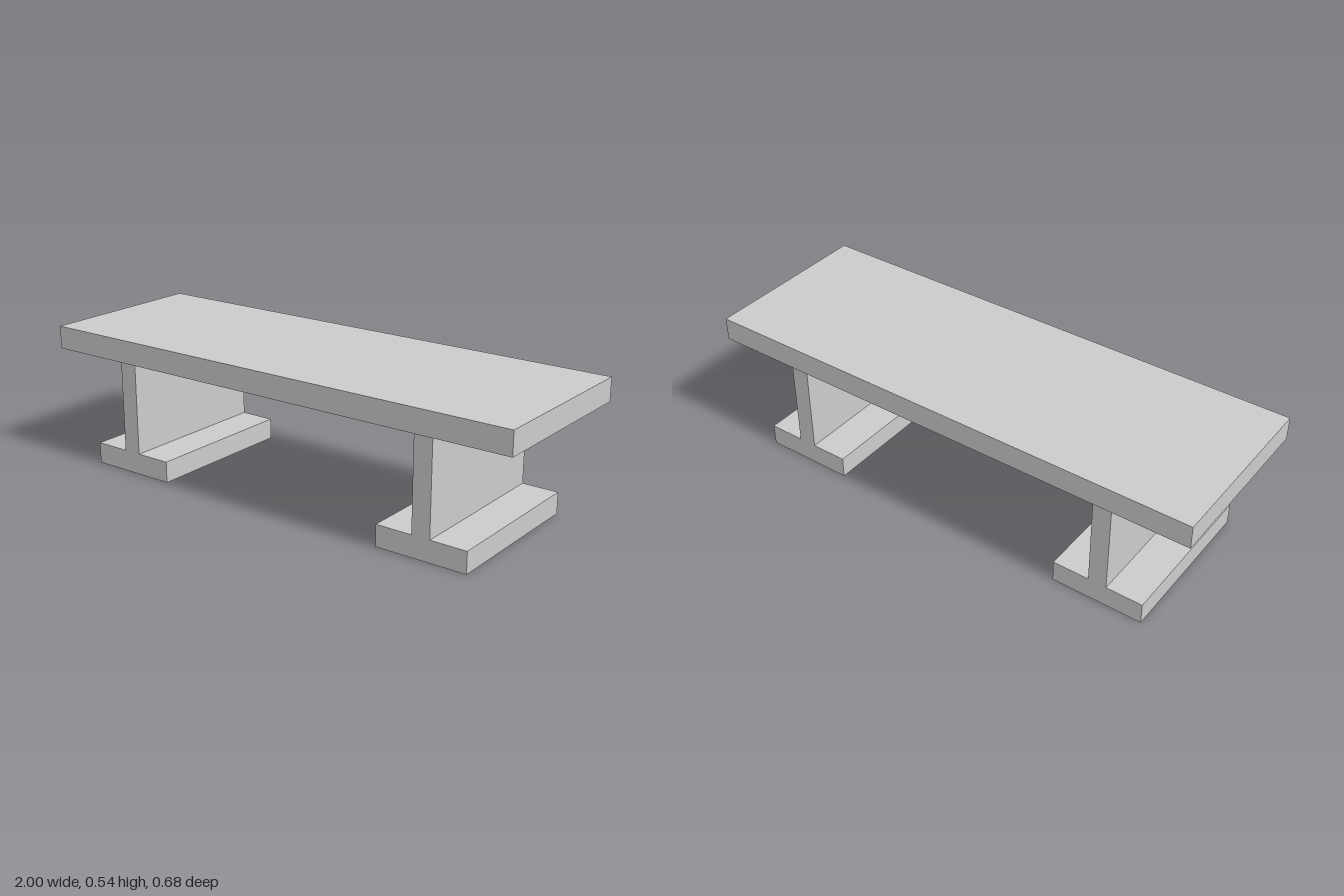
import * as THREE from 'three';

const TOP_Y = 0.538, UNDERSIDE_Y = 0.449, FOOT_H = 0.083;
const LEG_X = 0.662, LEG_DEPTH = 0.628, FOOT_HALF = 0.179, POST_HALF = 0.036;

// Inverted-T cross-section: wide foot with a thin upright panel
function legGeometry() {
  const half = [[FOOT_HALF, 0], [FOOT_HALF, FOOT_H], [POST_HALF, FOOT_H], [POST_HALF, UNDERSIDE_Y]];
  const mirrored = half.map(([x, y]) => [-x, y]).reverse();
  const shape = new THREE.Shape([...half, ...mirrored].map(([x, y]) => new THREE.Vector2(x, y)));
  return new THREE.ExtrudeGeometry(shape, { depth: LEG_DEPTH, bevelEnabled: false })
    .translate(0, 0, -LEG_DEPTH / 2);
}

export function createModel() {
  const group = new THREE.Group();
  group.name = 'bench';
  const material = new THREE.MeshStandardMaterial({ color: 0xcccccc });

  // Seat slab
  const seat = new THREE.Mesh(new THREE.BoxGeometry(2, TOP_Y - UNDERSIDE_Y, 0.68), material);
  seat.name = 'seat';
  seat.position.y = (TOP_Y + UNDERSIDE_Y) / 2;
  group.add(seat);

  // Pair of legs
  const geometry = legGeometry();
  for (const [name, side] of [['leftLeg', 1], ['rightLeg', -1]]) {
    const leg = new THREE.Mesh(geometry, material);
    leg.name = name;
    leg.position.x = side * LEG_X;
    group.add(leg);
  }
  return group;
}
